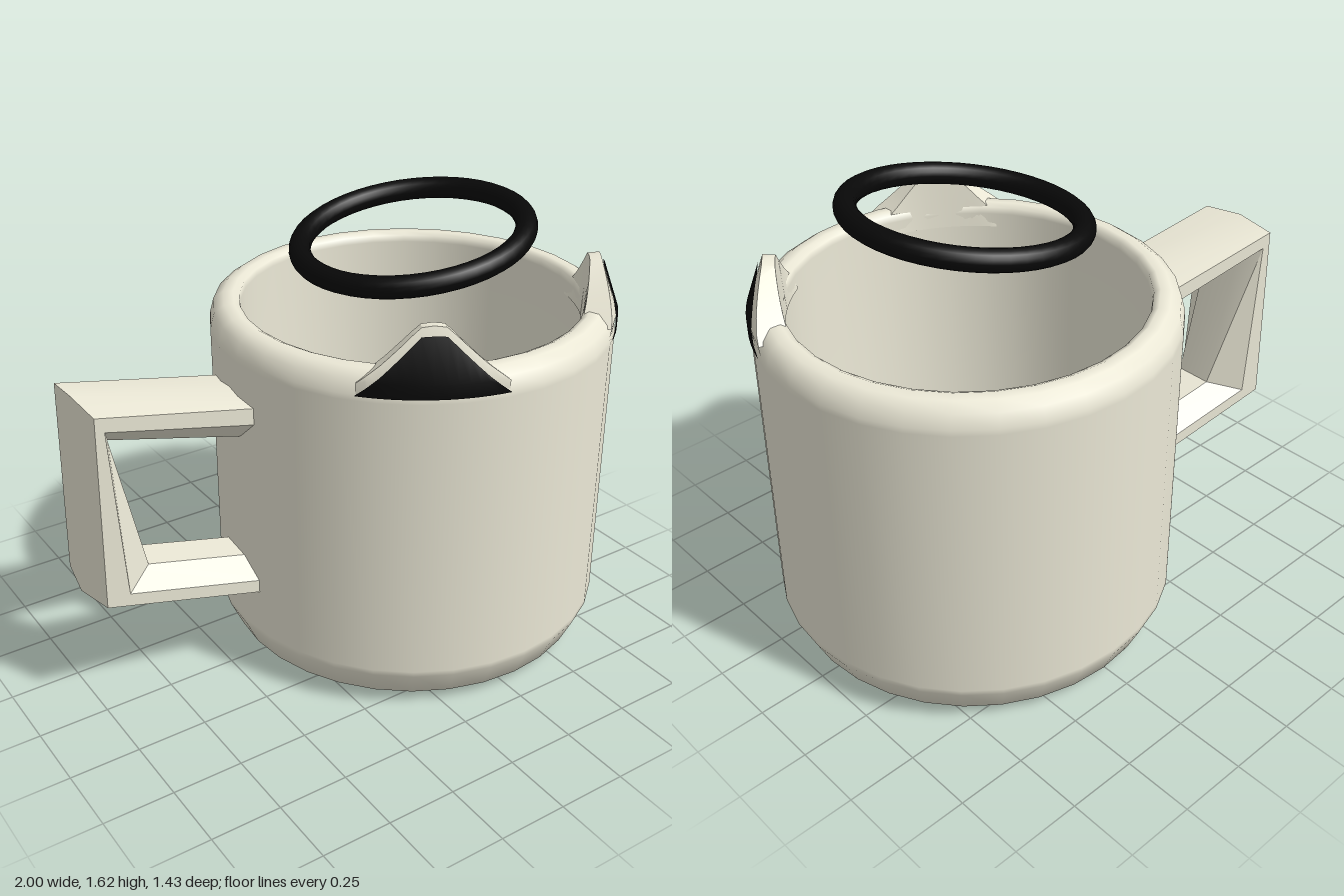
import * as THREE from 'three';
import { toCreasedNormals } from 'three/addons/utils/BufferGeometryUtils.js';

const AXIS_X = 0.285; // centre line of the cup
const cream = new THREE.MeshStandardMaterial({ color: 0xebe8d6, side: THREE.DoubleSide });
const black = new THREE.MeshStandardMaterial({ color: 0x080808, side: THREE.DoubleSide });

// Skin a list of cross-sections, each a list of [x, y, z] points
function loft(sections, closed, crease) {
  const n = sections[0].length, index = [];
  for (let i = 0; i < sections.length - 1; i++) {
    for (let k = 0; k < (closed ? n : n - 1); k++) {
      const a = i * n + k, b = i * n + (k + 1) % n;
      index.push(a, a + n, b, b, a + n, b + n);
    }
  }
  const g = new THREE.BufferGeometry();
  g.setAttribute('position', new THREE.Float32BufferAttribute(sections.flat(2), 3));
  g.setIndex(index);
  return toCreasedNormals(g, crease);
}

function addMesh(parent, name, geometry, material) {
  const mesh = new THREE.Mesh(geometry, material);
  mesh.name = name;
  parent.add(mesh);
  return mesh;
}

// Linear interpolation through [key, value] stops
function ramp(stops, t) {
  for (let i = 1; i < stops.length; i++) {
    const [t0, v0] = stops[i - 1], [t1, v1] = stops[i];
    if (t <= t1) return v0 + (v1 - v0) * Math.max(0, (t - t0) / (t1 - t0));
  }
  return stops[stops.length - 1][1];
}

// Outer radius of an ear at a given height
const earRadius = (y) => ramp([[1.2, 0.714], [1.26, 0.714], [1.43, 0.652]], y);

// Point on the cup at an angle (degrees from the front), radius and height
function polar(deg, r, y) {
  const a = THREE.MathUtils.degToRad(deg);
  return [r * Math.sin(a), y, r * Math.cos(a)];
}

function createEar(name, centre) {
  const ear = new THREE.Group();
  ear.name = name;
  const shellTop = [[0, 1.43], [3.5, 1.425], [6, 1.40], [14, 1.31], [17, 1.28], [20, 1.25]];
  const patchTop = [[0, 1.402], [3.5, 1.40], [9, 1.335], [14, 1.275], [17.5, 1.237], [20, 1.212]];
  const shell = [], patch = [];
  const offsets = [0, 3.5, 6, 9, 11.5, 14, 17, 17.5, 20];
  const steps = [...offsets.slice(1).reverse().map((d) => -d), ...offsets];
  for (const d of steps) {
    const h = ramp(shellTop, Math.abs(d)), p = ramp(patchTop, Math.abs(d));
    const mid = Math.min(1.26, h);
    shell.push([
      polar(centre + d, 0.708, 1.2), polar(centre + d, earRadius(mid), mid),
      polar(centre + d, earRadius(h), h), polar(centre + d, 0.612, h - 0.004),
      polar(centre + d, 0.6, 1.2),
    ]);
    // Dark panel laid just over the outer face
    patch.push([1.21, Math.min(1.26, p), p].map((y) => polar(centre + d, earRadius(y) + 0.007, y)));
  }
  addMesh(ear, 'earShell', loft(shell, false, 0.6), cream);
  addMesh(ear, 'earPanel', loft(patch, false, 0.6), black);
  ear.position.x = AXIS_X;
  return ear;
}

function createHandle() {
  // Outer and inner corner pairs in the x-y plane, from the top joint to the bottom joint
  const corners = [
    [[-0.36, 1.063], [-0.36, 0.9]],
    [[-0.97, 1.165], [-0.89, 1.017]],
    [[-1.0, 0.43], [-0.785, 0.51]],
    [[-0.36, 0.297], [-0.36, 0.425]],
  ];
  // Section: [depth from outer to inner, half-width factor]
  const section = [[0, 0], [0.12, 1], [0.5, 1], [1, 0.45], [1, -0.45], [0.5, -1], [0.12, -1]];
  const rings = corners.map(([o, i]) => section.map(([s, w]) => {
    const x = o[0] + (i[0] - o[0]) * s;
    const y = o[1] + (i[1] - o[1]) * s;
    return [x, y, -0.065 + (x + 0.4) * 0.1 + w * 0.155];
  }));
  return loft(rings, true, 0.55);
}

export function createModel() {
  const model = new THREE.Group();
  model.name = 'mug';

  // Hollow cup with rounded foot and rim
  const profile = [
    [0, 0], [0.555, 0], [0.56, 0.001], [0.67, 0.042], [0.715, 0.14], [0.715, 0.16],
    [0.715, 1.19], [0.713, 1.21], [0.7, 1.258], [0.665, 1.283], [0.63, 1.286], [0.608, 1.275],
    [0.605, 1.25], [0.6, 0.35], [0.575, 0.22], [0.5, 0.13], [0.37, 0.09], [0, 0.09],
  ].map(([r, y]) => new THREE.Vector2(r, y));
  addMesh(model, 'cup', new THREE.LatheGeometry(profile, 32), cream).position.x = AXIS_X;

  addMesh(model, 'handle', createHandle(), cream);
  model.add(createEar('rightEar', -30.5), createEar('leftEar', 54));

  // Tilted ring floating above the opening
  const ring = addMesh(model, 'floatingRing', new THREE.TorusGeometry(0.388, 0.038, 16, 48).rotateX(Math.PI / 2), black);
  ring.position.set(0.245, 1.517, 0.05);
  ring.rotation.z = 0.16;

  return model;
}
